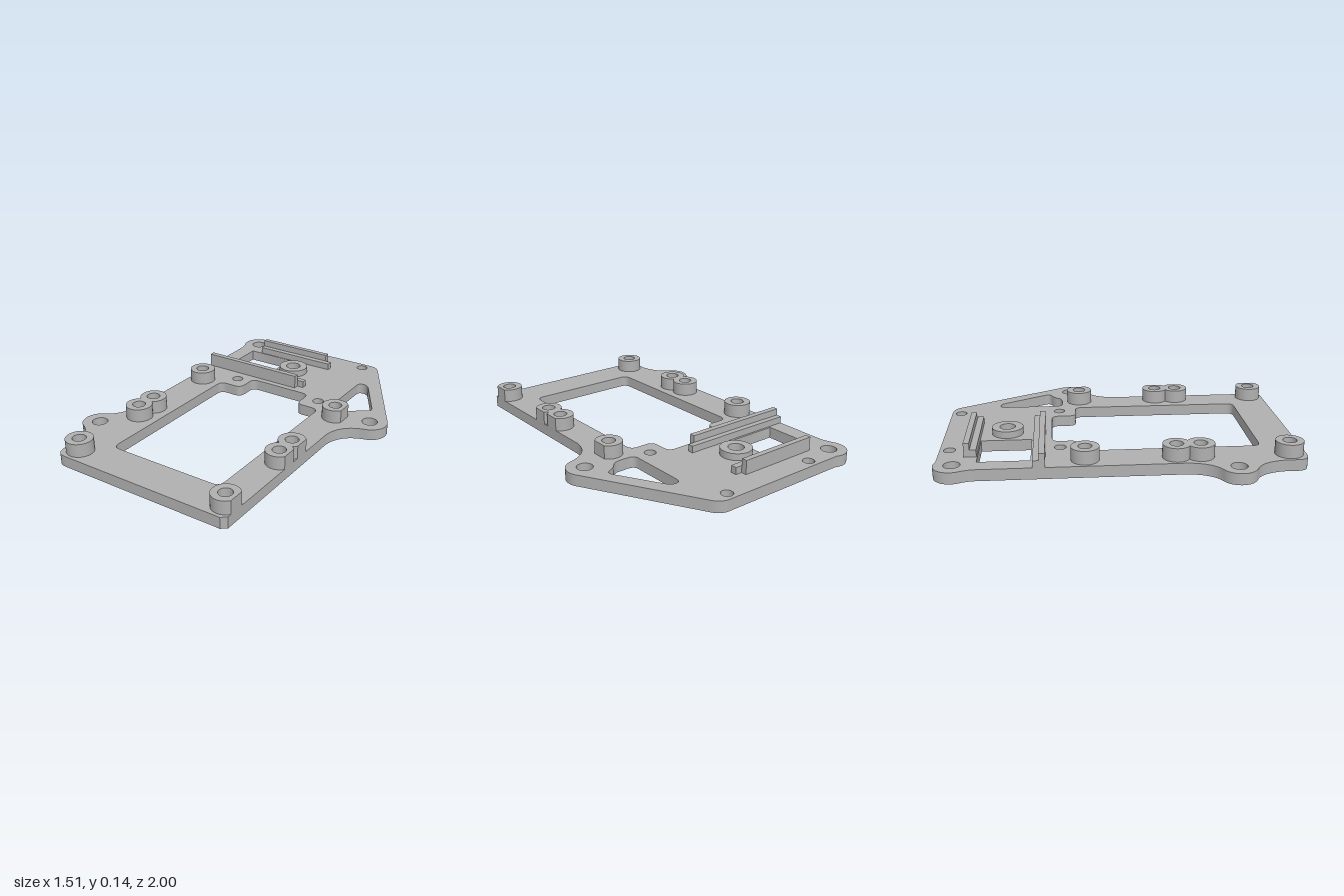
import * as THREE from 'three';
import { toCreasedNormals } from 'three/addons/utils/BufferGeometryUtils.js';

const PLATE = 0.065, RAD = Math.PI / 180;
const RIGHT_EDGE = 0.515;

export function createModel() {
  const model = new THREE.Group();
  model.name = 'mountingPlate';
  const grey = new THREE.MeshStandardMaterial({ color: 0xb0b0b0 });
  grey.name = 'plain grey';

  // Extrude a plan drawn in (x, z) between two heights
  function slab(name, shape, y0, y1) {
    const geo = new THREE.ExtrudeGeometry(shape, { depth: y1 - y0, bevelEnabled: false, curveSegments: 20 });
    geo.rotateX(Math.PI / 2);
    geo.translate(0, y1, 0);
    const mesh = new THREE.Mesh(toCreasedNormals(geo, 0.5), grey);
    mesh.name = name;
    model.add(mesh);
  }

  function box(name, x0, x1, z0, z1, top) {
    const mesh = new THREE.Mesh(new THREE.BoxGeometry(x1 - x0, top - PLATE, z1 - z0), grey);
    mesh.position.set((x0 + x1) / 2, (top + PLATE) / 2, (z0 + z1) / 2);
    mesh.name = name;
    model.add(mesh);
  }

  const circle = (x, z, r) => new THREE.Path().absarc(x, z, r, 0, Math.PI * 2, true);

  // Closed polygon with rounded corners
  function rounded(points, r) {
    const path = new THREE.Path();
    const pts = points.map(p => new THREE.Vector2(...p));
    pts.forEach((p, i) => {
      const prev = pts[(i + pts.length - 1) % pts.length], next = pts[(i + 1) % pts.length];
      const toward = q => {
        const d = q.clone().sub(p);
        return p.clone().addScaledVector(d.clone().normalize(), Math.min(r, d.length() * 0.45));
      };
      const a = toward(prev), b = toward(next);
      if (i === 0) path.moveTo(a.x, a.y); else path.lineTo(a.x, a.y);
      path.quadraticCurveTo(p.x, p.y, b.x, b.y);
    });
    path.closePath();
    return path;
  }

  // Plate outline with three screw ears
  const plate = new THREE.Shape();
  plate.moveTo(-0.6, -0.78);
  plate.quadraticCurveTo(-0.6, -0.81, -0.624, -0.866);
  plate.absarc(-0.53, -0.9, 0.1, 160 * RAD, 295 * RAD, false);
  plate.lineTo(-0.45, -0.99);
  plate.lineTo(0.3, -0.99);
  plate.quadraticCurveTo(0.357, -0.99, 0.385, -0.935);
  plate.absarc(0.65, -0.26, 0.103, -30 * RAD, 75 * RAD, false);
  plate.quadraticCurveTo(0.53, -0.125, RIGHT_EDGE, 0.02);
  plate.lineTo(RIGHT_EDGE, 0.975);
  plate.lineTo(0.485, 1);
  plate.lineTo(-0.53, 1);
  plate.quadraticCurveTo(-0.6, 1, -0.6, 0.93);
  plate.lineTo(-0.6, 0.86);
  plate.quadraticCurveTo(-0.615, 0.73, -0.696, 0.691);
  plate.absarc(-0.655, 0.6, 0.1, 114 * RAD, 246 * RAD, false);
  plate.quadraticCurveTo(-0.615, 0.47, -0.6, 0.34);
  plate.closePath();

  // Windows: large stepped opening, square opening, tapered opening
  plate.holes.push(
    rounded([[-0.385, -0.23], [-0.235, -0.23], [-0.235, -0.375], [0.175, -0.375],
      [0.175, -0.23], [0.325, -0.23], [0.325, 0.78], [-0.385, 0.78]], 0.045),
    rounded([[-0.5, -0.775], [-0.2, -0.775], [-0.2, -0.49], [-0.5, -0.49]], 0.002),
    rounded([[0.365, -0.7], [0.425, -0.7], [0.605, -0.39], [0.535, -0.36], [0.5, -0.31], [0.365, -0.31]], 0.04),
  );

  // Ear holes and small screw holes
  for (const [x, z] of [[-0.53, -0.9], [0.65, -0.26], [-0.655, 0.6]]) plate.holes.push(circle(x, z, 0.045));
  for (const x of [-0.325, 0.27]) for (const z of [-0.935, -0.33]) plate.holes.push(circle(x, z, 0.033));

  // Standoffs along both sides, trimmed flush with the right edge
  for (const x of [-0.508, 0.453]) {
    for (const z of [-0.2, 0.29, 0.42, 0.905]) {
      const r = 0.077;
      const cut = x > 0 ? Math.acos((RIGHT_EDGE - x) / r) : 0;
      const ring = new THREE.Shape();
      ring.absarc(x, z, r, cut, Math.PI * 2 - cut, false);
      ring.closePath();
      ring.holes.push(circle(x, z, 0.038));
      plate.holes.push(circle(x, z, 0.038));
      slab('standoff', ring, PLATE, 0.142);
    }
  }

  // Low boss with a recess beneath it
  const boss = new THREE.Shape().absarc(-0.085, -0.63, 0.09, 0, Math.PI * 2, false);
  boss.holes.push(circle(-0.085, -0.63, 0.045));
  plate.holes.push(circle(-0.085, -0.63, 0.086));
  slab('centreBoss', boss, 0.05, 0.105);

  slab('plate', plate, 0, PLATE);

  // Stepped rails: tall wall outside, low ledge inside
  box('rearRailWall', -0.43, 0.055, -0.848, -0.816, 0.145);
  box('rearRailLedge', -0.43, 0.095, -0.816, -0.78, 0.105);
  box('frontRailWall', -0.6, 0.055, -0.445, -0.412, 0.145);
  box('frontRailLedge', -0.6, 0.095, -0.478, -0.445, 0.105);

  return model;
}
